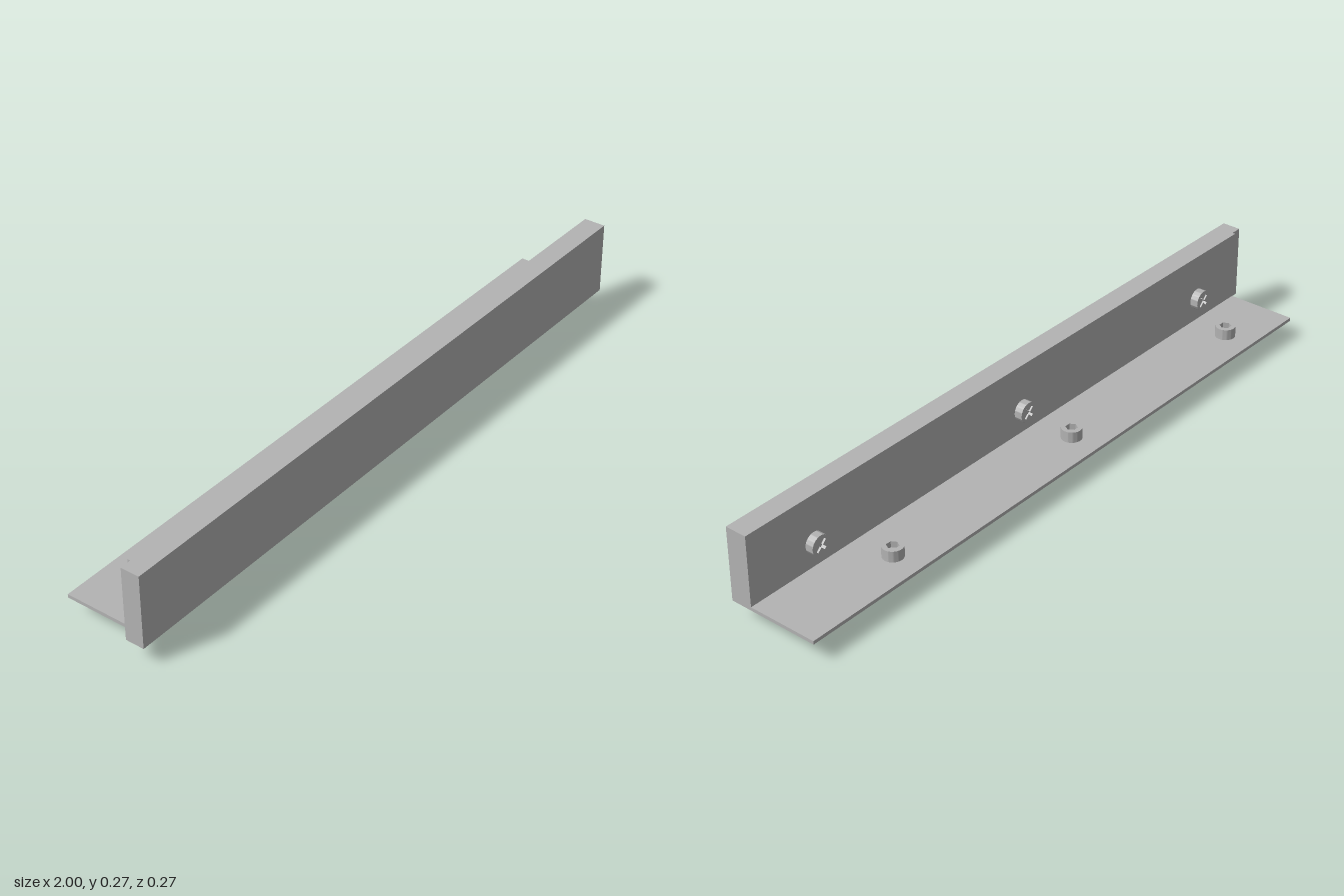
import * as THREE from 'three';
import { toCreasedNormals } from 'three/addons/utils/BufferGeometryUtils.js';

const steel = new THREE.MeshStandardMaterial({ color: 0xb3b3b3 });
steel.name = 'steel grey';

function box(name, x0, x1, y0, y1, z0, z1) {
  const mesh = new THREE.Mesh(new THREE.BoxGeometry(x1 - x0, y1 - y0, z1 - z0), steel);
  mesh.position.set((x0 + x1) / 2, (y0 + y1) / 2, (z0 + z1) / 2);
  mesh.name = name;
  return mesh;
}

// Hexagonal socket outline
function hexPoints(r) {
  return Array.from({ length: 6 }, (_, i) => {
    const a = (i * Math.PI) / 3;
    return new THREE.Vector2(r * Math.cos(a), r * Math.sin(a));
  });
}

// Diagonal cross-slot outline: arm length l, half width w
function crossPoints(l, w) {
  const pts = [];
  for (let i = 0; i < 4; i++) {
    for (const [x, y] of [[l, -w], [l, w], [w, w]]) {
      pts.push(new THREE.Vector2(x, y).rotateAround(new THREE.Vector2(), (i + 0.5) * Math.PI / 2));
    }
  }
  return pts;
}

// Round head along +z with a recess cut in its outer end
function screwHead(name, radius, height, recess, depth) {
  const group = new THREE.Group();
  group.name = name;
  const rim = new THREE.Shape().absarc(0, 0, radius, 0, Math.PI * 2);
  rim.holes.push(new THREE.Path(recess));
  const geometry = new THREE.ExtrudeGeometry(rim, { depth: height, bevelEnabled: false, curveSegments: 32 });
  const head = new THREE.Mesh(toCreasedNormals(geometry, 0.6), steel);
  head.name = 'head';
  const floor = new THREE.Mesh(new THREE.ShapeGeometry(new THREE.Shape(recess)), steel);
  floor.name = 'recessFloor';
  floor.position.z = height - depth;
  group.add(head, floor);
  return group;
}

export function createModel() {
  const model = new THREE.Group();
  model.name = 'mountedRail';

  // Front bar and the slightly shorter L-shaped angle behind it
  model.add(
    box('frontBar', -1, 1, 0.055, 0.27, 0.081, 0.136),
    box('angleUpright', -0.967, 1, 0.055, 0.27, 0.072, 0.081),
    box('angleFlange', -0.967, 1, 0.055, 0.065, -0.134, 0.072),
  );

  // Vertical socket bolts through the flange
  for (const x of [-0.766, -0.067, 0.631]) {
    const bolt = new THREE.Group();
    bolt.name = 'flangeBolt';
    const head = screwHead('socketHead', 0.029, 0.032, hexPoints(0.017), 0.018);
    head.rotation.x = -Math.PI / 2;
    head.position.y = 0.065;
    const shank = new THREE.Mesh(new THREE.CylinderGeometry(0.0155, 0.0155, 0.06, 32), steel);
    shank.name = 'shank';
    shank.position.y = 0.03;
    bolt.add(head, shank);
    bolt.position.set(x, 0, -0.046);
    model.add(bolt);
  }

  // Cross-slot screws holding the angle to the bar
  for (const x of [-0.786, -0.003, 0.781]) {
    const screw = screwHead('barScrew', 0.0295, 0.024, crossPoints(0.02, 0.004), 0.014);
    screw.rotation.y = Math.PI;
    screw.position.set(x, 0.135, 0.072);
    model.add(screw);
  }
  return model;
}
